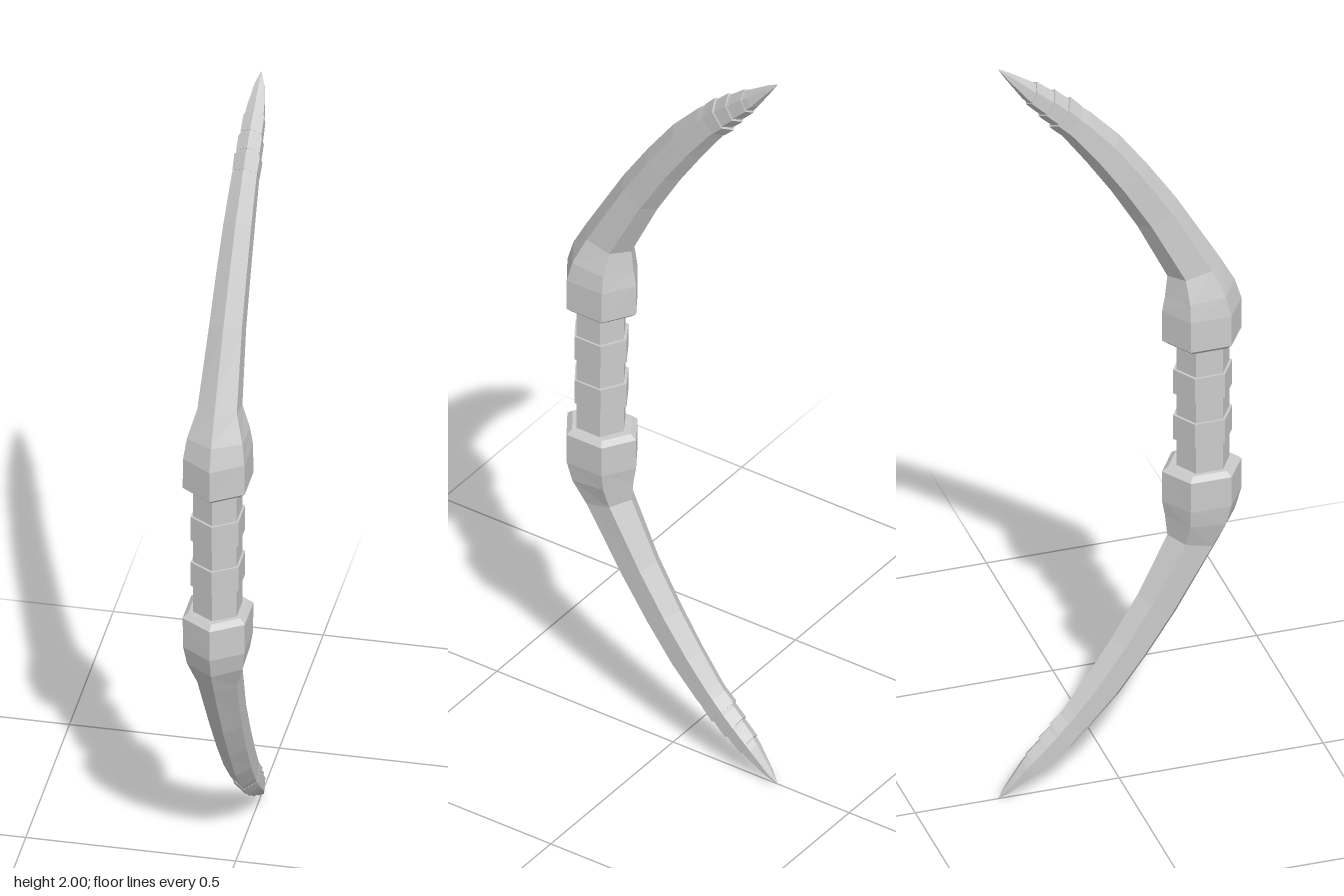
import * as THREE from 'three';

const material = new THREE.MeshStandardMaterial({ color: 0xcccccc, flatShading: true, side: THREE.DoubleSide });

// Section: [front z, front y, back z, back y, half width] -> six corners of a ridged hexagon
function hexagon([fz, fy, bz, by, w]) {
  const corners = [[0, 0], [1, 0.25], [1, 0.76], [0, 1], [-1, 0.76], [-1, 0.25]];
  return corners.map(([side, t]) => [side * w, fy + (by - fy) * t, fz + (bz - fz) * t]);
}

// Faceted skin through the sections, capped at both ends; mirrored about y = 1 on request
function loft(name, sections, mirrored = false) {
  const rings = sections.map(hexagon);
  const positions = [];
  const triangle = (a, b, c) => {
    for (const [x, y, z] of mirrored ? [a, c, b] : [a, b, c]) positions.push(x, mirrored ? 2 - y : y, z);
  };
  for (let r = 0; r < rings.length - 1; r++) {
    const low = rings[r], high = rings[r + 1];
    for (let i = 0; i < 6; i++) {
      const j = (i + 1) % 6;
      triangle(low[i], low[j], high[j]);
      triangle(low[i], high[j], high[i]);
    }
  }
  const first = rings[0], last = rings[rings.length - 1];
  for (let i = 1; i < 5; i++) {
    triangle(first[0], first[i + 1], first[i]);
    triangle(last[0], last[i], last[i + 1]);
  }
  const geometry = new THREE.BufferGeometry();
  geometry.setAttribute('position', new THREE.Float32BufferAttribute(positions, 3));
  geometry.computeVertexNormals();
  const mesh = new THREE.Mesh(geometry, material);
  mesh.name = name;
  return mesh;
}

// Level section at one height
const level = (y, front, back, w) => [front, y, back, y, w];

// Upper socket and limb, from the grip to the pointed tip
const limb = [
  level(1.168, 0.285, 0.12, 0.062),
  level(1.18, 0.3, 0.105, 0.074),
  level(1.26, 0.3, 0.105, 0.073),
  [0.283, 1.315, 0.112, 1.3, 0.066],
  [0.245, 1.385, 0.118, 1.355, 0.047],
  [0.14, 1.565, 0.045, 1.505, 0.039],
  [0.07, 1.67, -0.02, 1.615, 0.036],
  [0, 1.765, -0.08, 1.705, 0.033],
  [-0.07, 1.84, -0.13, 1.775, 0.03],
  [-0.14, 1.9, -0.18, 1.84, 0.027],
  [-0.22, 1.955, -0.238, 1.91, 0.021],
  [-0.27, 1.987, -0.277, 1.968, 0.011],
  [-0.295, 2, -0.296, 1.998, 0.001],
];

// Section between two limb stations, swollen about its middle
function limbSection(t, swell) {
  const i = Math.floor(t);
  const s = limb[i].map((v, k) => THREE.MathUtils.lerp(v, limb[i + 1][k], t - i));
  const mz = (s[0] + s[2]) / 2, my = (s[1] + s[3]) / 2;
  return [mz + (s[0] - mz) * swell, my + (s[1] - my) * swell,
    mz + (s[2] - mz) * swell, my + (s[3] - my) * swell, s[4] * (1 + (swell - 1) * 0.6)];
}

export function createModel() {
  const bow = new THREE.Group();
  bow.name = 'bow';

  // Grip
  bow.add(loft('grip', [level(0.82, 0.27, 0.14, 0.052), level(1.18, 0.27, 0.14, 0.052)]));

  for (const mirrored of [false, true]) {
    const side = mirrored ? 'lower' : 'upper';
    // Limb with its socket
    bow.add(loft(side + 'Limb', limb, mirrored));
    // Raised band on the grip
    bow.add(loft(side + 'GripBand',
      [level(1.03, 0.277, 0.132, 0.057), level(1.095, 0.277, 0.132, 0.057)], mirrored));
    // Stepped wraps close to the tip
    [[8.3, 8.75], [8.85, 9.25], [9.35, 9.8]].forEach(([start, end], n) => {
      bow.add(loft(side + 'TipWrap' + (n + 1),
        [limbSection(start, 1.03), limbSection(end, 1.17)], mirrored));
    });
  }
  return bow;
}
